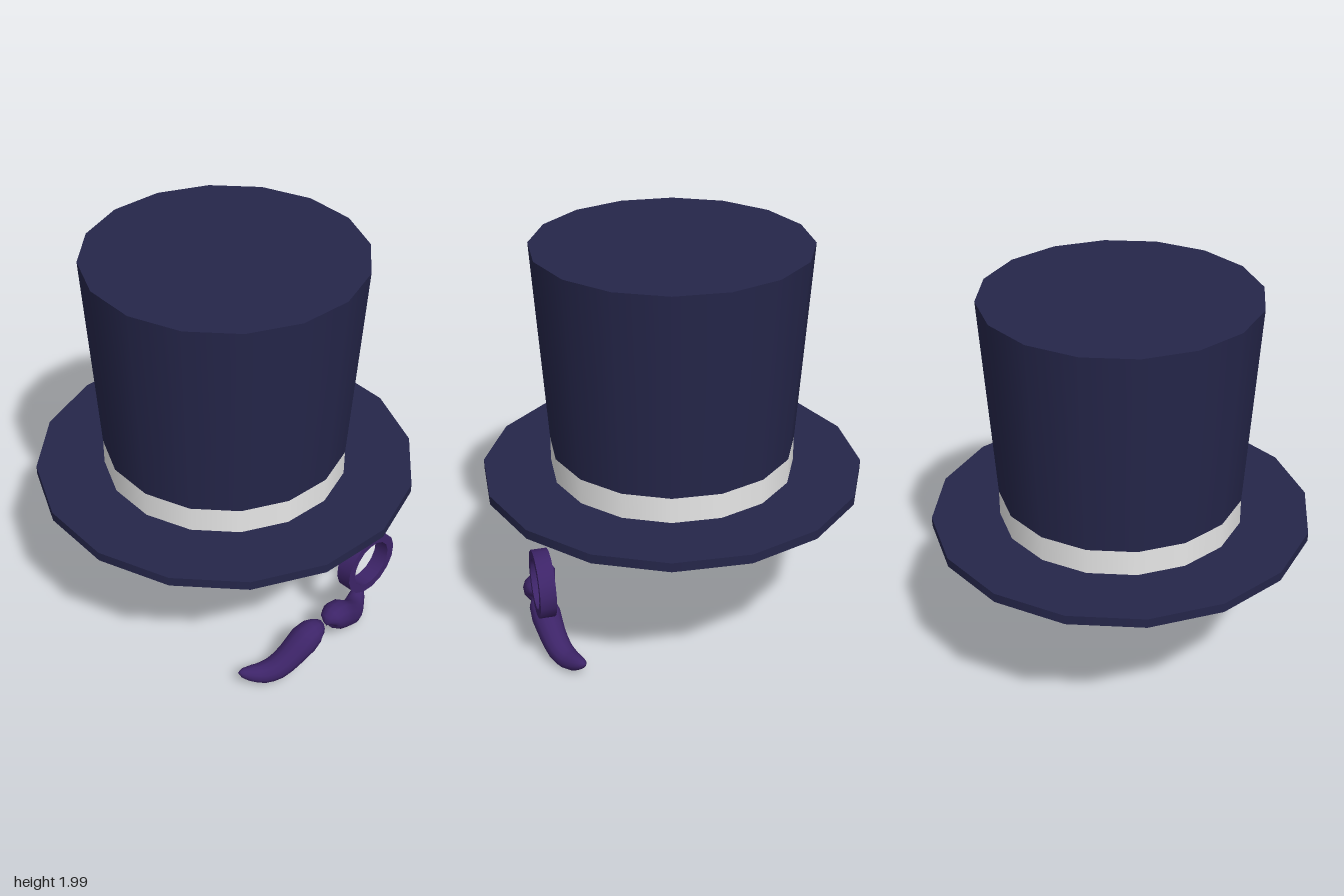
import * as THREE from 'three';
import { mergeVertices, toCreasedNormals } from 'three/addons/utils/BufferGeometryUtils.js';

const SIDES = 16;
const TURN = 0.132; // slight twist of the hat about its axis

// Path and radius of one moustache half: x, y, z, radius
const WHISKER = [
  [0.022, 0.19, 0.685, 0], [0.04, 0.212, 0.683, 0.046], [0.075, 0.215, 0.68, 0.065],
  [0.125, 0.185, 0.67, 0.074], [0.2, 0.125, 0.655, 0.066], [0.27, 0.076, 0.632, 0.061],
  [0.33, 0.06, 0.602, 0.053], [0.385, 0.074, 0.575, 0.04], [0.425, 0.09, 0.553, 0.023],
  [0.445, 0.097, 0.543, 0],
];

// Tapered tube whose rings are scaled by the local radius
function whiskerGeometry(side) {
  const curve = new THREE.CatmullRomCurve3(WHISKER.map(([x, y, z]) => new THREE.Vector3(side * x, y, z)));
  curve.getPointAt = (t, target) => curve.getPoint(t, target);
  curve.getTangentAt = (t, target) => curve.getTangent(t, target);
  const around = 12, steps = 2 * (WHISKER.length - 1);
  const tube = new THREE.TubeGeometry(curve, steps, 1, around, false);
  const pos = tube.attributes.position;
  const v = new THREE.Vector3();
  for (let i = 0; i <= steps; i++) {
    const centre = curve.getPoint(i / steps);
    const a = WHISKER[Math.floor(i / 2)][3], b = WHISKER[Math.ceil(i / 2)][3];
    const radius = (a + b) / 2;
    for (let j = 0; j <= around; j++) {
      const k = i * (around + 1) + j;
      v.fromBufferAttribute(pos, k).sub(centre).multiplyScalar(radius).add(centre);
      pos.setXYZ(k, v.x, v.y, v.z);
    }
  }
  tube.deleteAttribute('uv');
  tube.deleteAttribute('normal');
  const geometry = mergeVertices(tube, 1e-5);
  geometry.computeVertexNormals();
  return geometry;
}

export function createModel() {
  const group = new THREE.Group();
  const navy = new THREE.MeshStandardMaterial({ color: 0x25264a });
  const white = new THREE.MeshStandardMaterial({ color: 0xf0f0f0 });
  const purple = new THREE.MeshStandardMaterial({ color: 0x3d2468 });
  navy.name = 'navy';
  white.name = 'white';
  purple.name = 'purple';

  function add(name, geometry, material) {
    const mesh = new THREE.Mesh(geometry, material);
    mesh.name = name;
    group.add(mesh);
    return mesh;
  }

  // Hat: stacked discs between two heights
  function disc(name, top, bottom, y0, y1, material, open = false) {
    const mesh = add(name, new THREE.CylinderGeometry(top, bottom, y1 - y0, SIDES, 1, open), material);
    mesh.position.y = (y0 + y1) / 2;
    mesh.rotation.y = TURN;
  }
  disc('brim', 0.911, 0.911, 0.85, 0.895, navy);
  disc('hatBand', 0.585, 0.585, 0.895, 1.02, white, true);
  disc('crown', 0.645, 0.585, 1.02, 2, navy);

  // Monocle: square-edged ring facing forward
  const profile = [[0.163, -0.038], [0.163, 0.038], [0.12, 0.038], [0.12, -0.038], [0.163, -0.038]]
    .map(([r, h]) => new THREE.Vector2(r, h));
  const ring = toCreasedNormals(new THREE.LatheGeometry(profile, SIDES), 0.8);
  const monocle = add('monocle', ring, purple);
  monocle.rotation.set(Math.PI / 2, TURN, 0);
  monocle.position.set(0.269, 0.475, 0.7);

  // Moustache halves
  add('moustacheLeft', whiskerGeometry(1), purple);
  add('moustacheRight', whiskerGeometry(-1), purple);

  return group;
}
